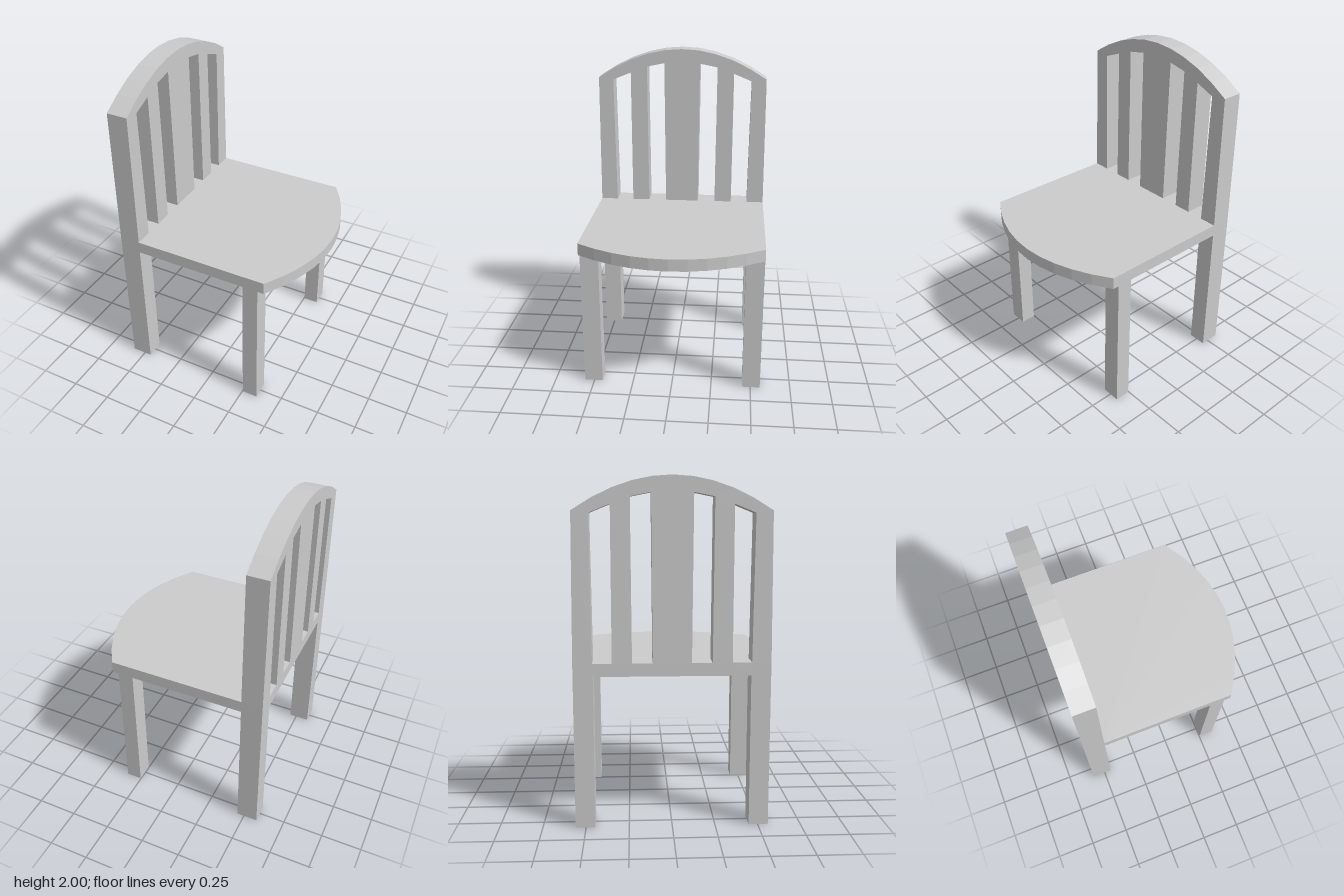
import * as THREE from 'three';

const HALF = 0.56, BACK_X = -0.585, BACK_FRONT = -0.455;
const SEAT_LOW = 0.89, SEAT_TOP = 0.965;

const shapeOf = (points) => new THREE.Shape(points.map(([x, y]) => new THREE.Vector2(x, y)));

// Points along a shallow parabolic bow, from +half to -half
function bow(half, base, rise, steps = 10) {
  return Array.from({ length: steps + 1 }, (_, i) => {
    const t = 1 - (2 * i) / steps;
    return [t * half, base + rise * (1 - t * t)];
  });
}

export function createModel() {
  const chair = new THREE.Group();
  chair.name = 'chair';
  const material = new THREE.MeshStandardMaterial({ color: 0xcccccc, flatShading: true });

  const add = (name, geometry) => {
    const mesh = new THREE.Mesh(geometry, material);
    mesh.name = name;
    chair.add(mesh);
    return mesh;
  };

  // Backrest and rear legs: one board with an arched top and four slots
  const back = shapeOf([
    [-HALF, 0], [-0.447, 0], [-0.447, SEAT_LOW], [0.447, SEAT_LOW], [0.447, 0], [HALF, 0],
    [HALF, SEAT_TOP], ...bow(0.553, 1.81, 0.19), [-HALF, SEAT_TOP],
  ]);
  const slots = [
    [[0.45, SEAT_TOP], [0.34, SEAT_TOP], [0.34, 1.845], [0.458, 1.797]],
    [[0.227, SEAT_TOP], [0.11, SEAT_TOP], [0.117, 1.908], [0.232, 1.885]],
  ];
  for (const slot of slots) {
    for (const side of [1, -1]) {
      back.holes.push(shapeOf(slot.map(([x, y]) => [side * x, y])));
    }
  }
  const backGeometry = new THREE.ExtrudeGeometry(back, {
    depth: BACK_FRONT - BACK_X, bevelEnabled: false,
  });
  backGeometry.rotateY(Math.PI / 2).translate(BACK_X, 0, 0);
  add('backrestAndRearLegs', backGeometry);

  // Seat: flat slab with a bowed front edge
  const seat = shapeOf([
    [BACK_FRONT, HALF], ...bow(HALF, 0.39, 0.192).map(([z, x]) => [x, z]), [BACK_FRONT, -HALF],
  ]);
  const seatGeometry = new THREE.ExtrudeGeometry(seat, {
    depth: SEAT_TOP - SEAT_LOW, bevelEnabled: false,
  });
  seatGeometry.rotateX(-Math.PI / 2).translate(0, SEAT_LOW, 0);
  add('seat', seatGeometry);

  // Front legs
  for (const side of [1, -1]) {
    const leg = add(side > 0 ? 'frontLegA' : 'frontLegB', new THREE.BoxGeometry(0.097, SEAT_LOW, 0.113));
    leg.position.set(0.302, SEAT_LOW / 2, side * (HALF - 0.0565));
  }

  return chair;
}
